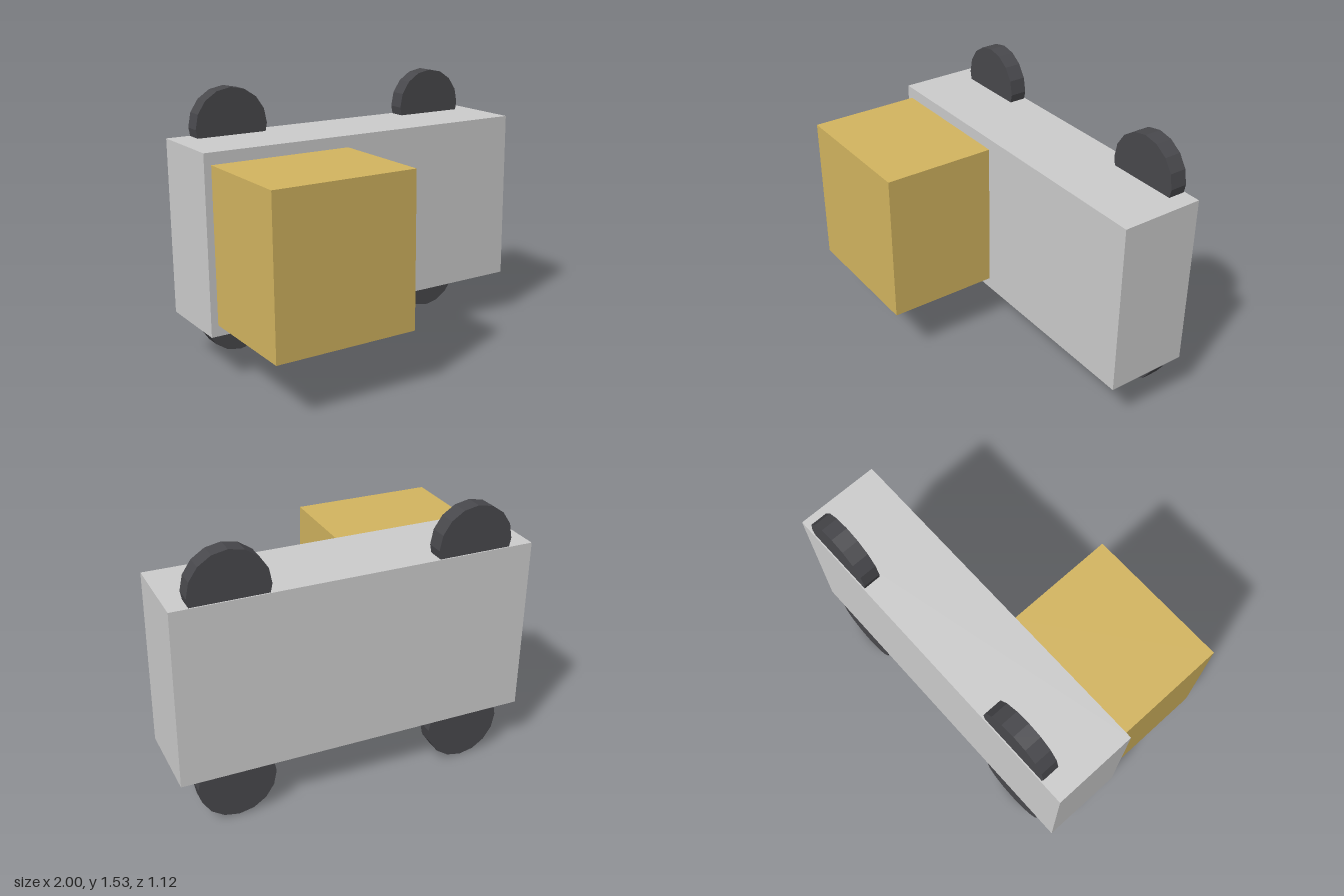
import * as THREE from 'three';

export function createModel() {
  const model = new THREE.Group();
  const material = (color) => new THREE.MeshStandardMaterial({ color, flatShading: true });

  // Box given by its lower and upper corners
  const addBox = (name, min, max, mat) => {
    const size = max.map((v, i) => v - min[i]);
    const mesh = new THREE.Mesh(new THREE.BoxGeometry(...size), mat);
    mesh.position.set(...min.map((v, i) => (v + max[i]) / 2));
    mesh.name = name;
    model.add(mesh);
  };

  // Truck lying on its side: cargo bed, cab and windscreen
  addBox('bed', [-1, 0.27, -0.56], [1, 1.268, -0.083], material(0xcccccc));
  addBox('cab', [-0.96, 0.333, -0.083], [-0.137, 1.202, 0.56], material(0xd2b45f));
  addBox('windscreen', [-0.835, 0.3, 0.1], [-0.267, 0.333, 0.405], material(0x8fb3c0));

  // Four 16-sided wheels, each half sunk into the bed
  const radius = 0.216;
  const wheelGeometry = new THREE.CylinderGeometry(radius, radius, 0.098, 16).rotateX(Math.PI / 2);
  const wheelMaterial = material(0x48484c);
  for (const x of [-0.656, 0.692]) {
    for (const y of [radius, 1.316]) {
      const wheel = new THREE.Mesh(wheelGeometry, wheelMaterial);
      wheel.position.set(x, y, -0.504);
      wheel.name = 'wheel';
      model.add(wheel);
    }
  }
  return model;
}
